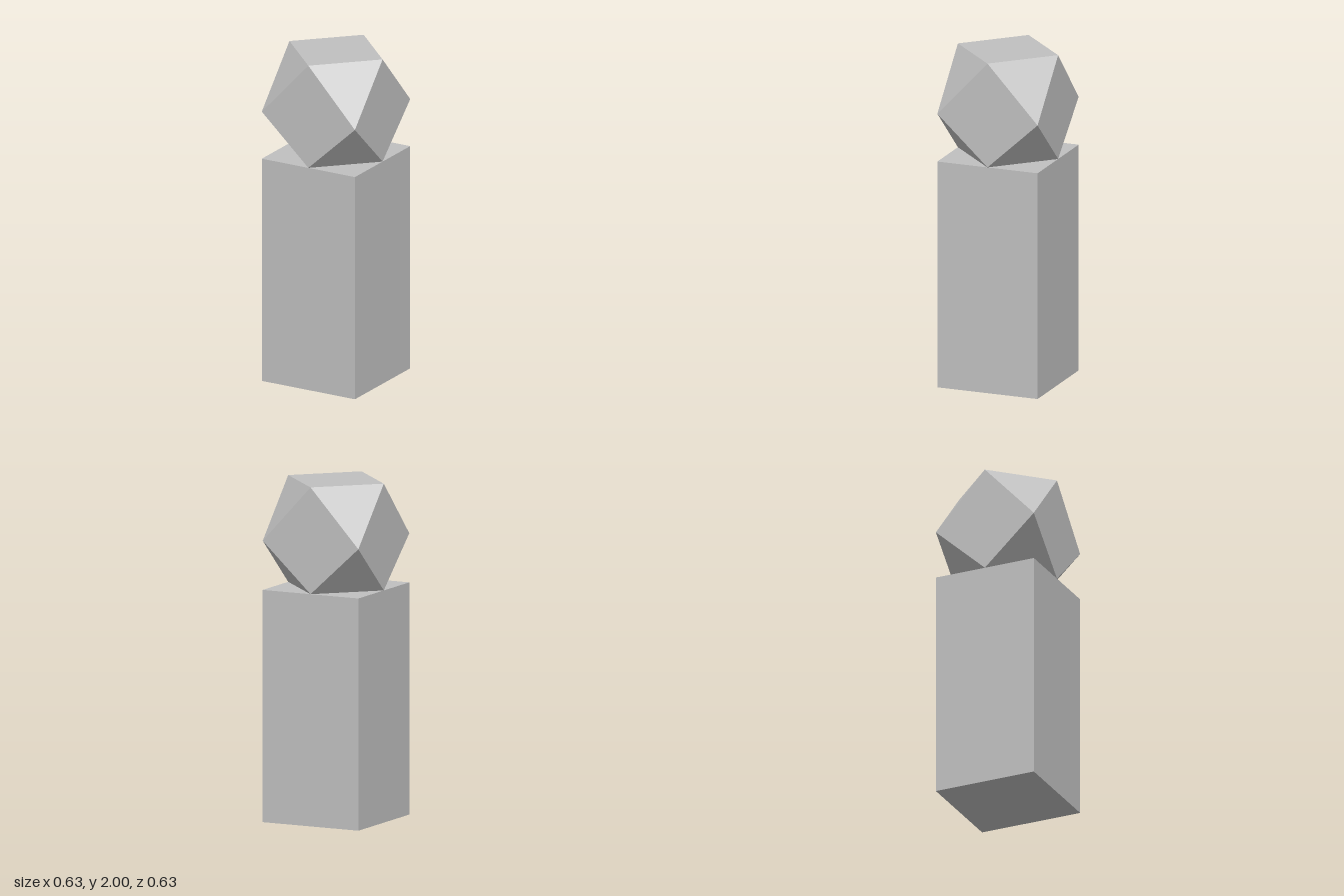
import * as THREE from 'three';
import { ConvexGeometry } from 'three/addons/geometries/ConvexGeometry.js';

const HALF = 0.315;      // half width of column and finial
const COLUMN_TOP = 1.37;
const FINIAL_MID = 1.66;
const TOP = 2;

export function createModel() {
  const group = new THREE.Group();
  group.name = 'pillar';
  const stone = new THREE.MeshStandardMaterial({ color: 0xc0c0c0, flatShading: true });
  stone.name = 'grey stone';

  // Square column
  const column = new THREE.Mesh(new THREE.BoxGeometry(2 * HALF, COLUMN_TOP, 2 * HALF), stone);
  column.name = 'column';
  column.position.y = COLUMN_TOP / 2;
  group.add(column);

  // Cuboctahedron finial: a diamond ring, a square ring and a diamond ring
  const points = [];
  for (let i = 0; i < 4; i++) {
    const a = (i * Math.PI) / 2;
    const x = HALF * Math.round(Math.cos(a));
    const z = HALF * Math.round(Math.sin(a));
    points.push(
      new THREE.Vector3(x, COLUMN_TOP, z),
      new THREE.Vector3(x - z, FINIAL_MID, z + x),
      new THREE.Vector3(x, TOP, z)
    );
  }
  const finial = new THREE.Mesh(new ConvexGeometry(points), stone);
  finial.name = 'finial';
  group.add(finial);

  return group;
}
